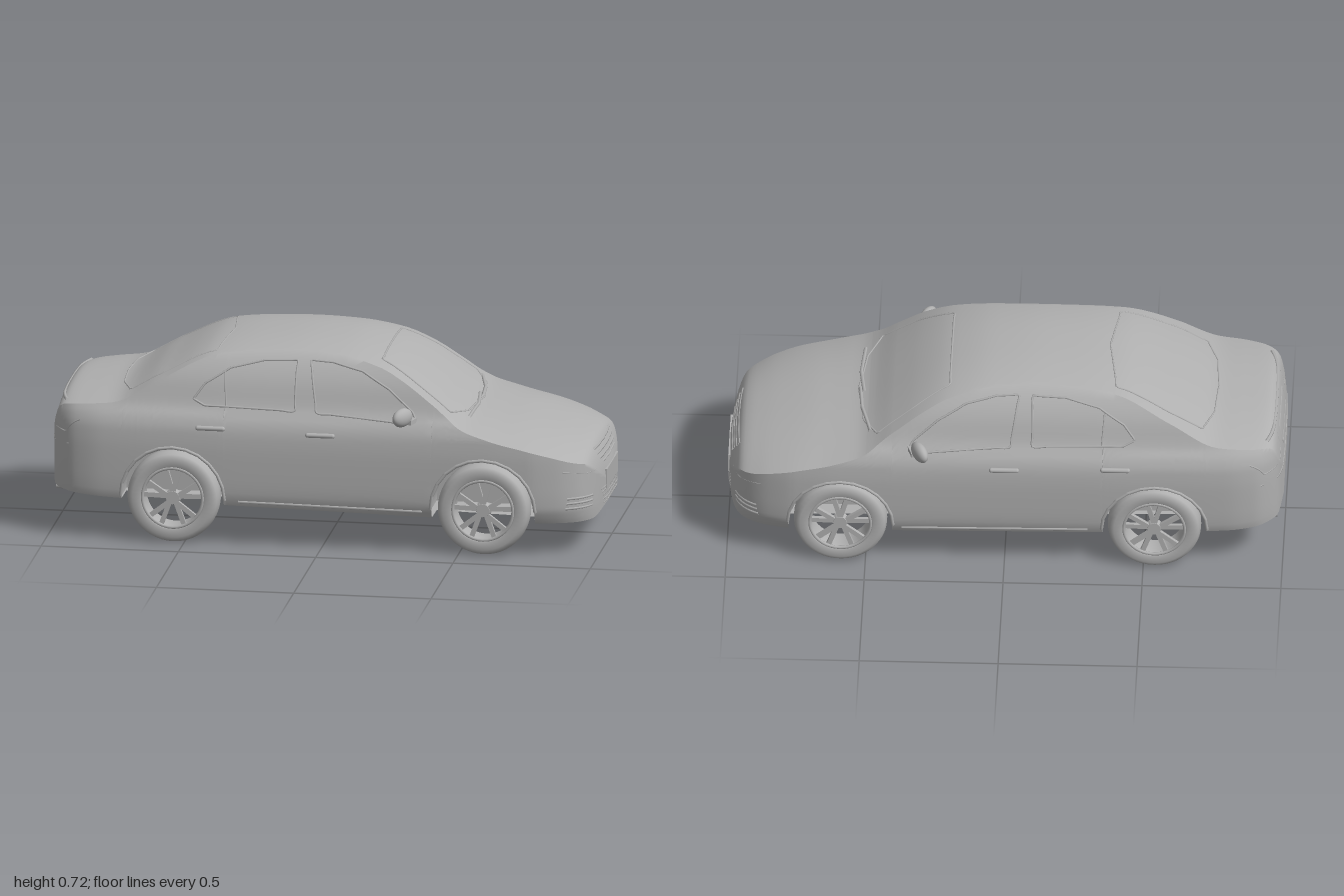
import * as THREE from 'three';
import { toCreasedNormals } from 'three/addons/utils/BufferGeometryUtils.js';

// Smooth monotone interpolation through [position, value] pairs
function profile(p) {
  const n = p.length;
  const d = p.slice(1).map((q, i) => (q[1] - p[i][1]) / (q[0] - p[i][0]));
  const m = p.map((_, i) => i === 0 ? d[0] : i === n - 1 ? d[n - 2]
    : d[i - 1] * d[i] <= 0 ? 0 : 2 * d[i - 1] * d[i] / (d[i - 1] + d[i]));
  return (x) => {
    if (x <= p[0][0]) return p[0][1];
    if (x >= p[n - 1][0]) return p[n - 1][1];
    let i = 0;
    while (x > p[i + 1][0]) i++;
    const h = p[i + 1][0] - p[i][0], t = (x - p[i][0]) / h, t2 = t * t, t3 = t2 * t;
    return (2 * t3 - 3 * t2 + 1) * p[i][1] + (t3 - 2 * t2 + t) * h * m[i]
      + (3 * t2 - 2 * t3) * p[i + 1][1] + (t3 - t2) * h * m[i + 1];
  };
}

// Body envelope: centre height, underside, plan taper, half width by height, crown depth
const topLine = profile([[-1, .35], [-.99, .42], [-.965, .5], [-.94, .514], [-.85, .525], [-.76, .535], [-.6, .615],
  [-.4, .7], [-.25, .718], [-.1, .724], [.05, .716], [.2, .684], [.3, .637], [.4, .572], [.52, .494], [.6, .476],
  [.7, .457], [.8, .432], [.88, .408], [.95, .378], [.975, .34], [.99, .3], [1, .265]]);
const bottomLine = profile([[-1, .21], [-.98, .175], [-.8, .16], [-.4, .15], [.3, .135], [.7, .125], [.97, .12], [1, .15]]);
const plan = profile([[-1, .5], [-.985, .7], [-.96, .8], [-.9, .905], [-.8, .96], [-.6, .985], [-.3, 1], [.6, 1],
  [.75, .985], [.85, .93], [.92, .84], [.96, .72], [.985, .53], [1, .28]]);
const widthAt = profile([[.11, .36], [.14, .378], [.18, .393], [.25, .398], [.35, .4], [.42, .396], [.47, .38],
  [.5, .359], [.6, .323], [.66, .288], [.7, .25], [.73, .2]]);
const crown = profile([[-1, .03], [-.7, .03], [-.4, .022], [.2, .024], [.5, .035], [.7, .05], [.9, .05], [1, .03]]);
const halfWidth = (x, y) => plan(x) * widthAt(y);
const edgeY = (x) => topLine(x) - crown(x);
const topY = (x, z) => {
  const t = Math.min(1, Math.abs(z) / halfWidth(x, edgeY(x)));
  return edgeY(x) + crown(x) * (1 - Math.pow(t, 2.4));
};
// Outermost x of the nose (dir 1) or tail (dir -1) at a given z and y
const endX = (dir, z, y) => {
  for (let s = 1; s > .6; s -= .002) {
    if (Math.abs(z) <= halfWidth(dir * s, y) && y <= topY(dir * s, z)) return dir * s;
  }
  return dir * .6;
};

const WHEELS = [-.54, .59], AXLE = .168, ARCH = .186;

export function createModel() {
  const car = new THREE.Group();
  car.name = 'sedan';
  const paint = new THREE.MeshStandardMaterial({ color: 0xb0b0b0, side: THREE.DoubleSide });
  paint.name = 'grey';
  const add = (name, geo, x = 0, y = 0, z = 0, parent = car) => {
    const mesh = new THREE.Mesh(geo, paint);
    mesh.name = name;
    mesh.position.set(x, y, z);
    parent.add(mesh);
    return mesh;
  };
  const grid = (rows) => {
    const w = rows[0].length, index = [];
    for (let i = 0; i < rows.length - 1; i++) for (let j = 0; j < w - 1; j++) {
      const a = i * w + j, b = a + w;
      index.push(a, a + 1, b, b, a + 1, b + 1);
    }
    const g = new THREE.BufferGeometry();
    g.setAttribute('position', new THREE.Float32BufferAttribute(rows.flat(2), 3));
    g.setIndex(index);
    g.computeVertexNormals();
    return g;
  };
  // Thin trim line laid on the body surface
  const trim = (name, pts, project, r = .003, closed = false) => {
    const out = [], n = pts.length;
    for (let i = 0; i < (closed ? n : n - 1); i++) {
      const a = pts[i], b = pts[(i + 1) % n];
      for (let k = 0; k < 6; k++) {
        const t = k / 6;
        out.push(project(a[0] + (b[0] - a[0]) * t, a[1] + (b[1] - a[1]) * t));
      }
    }
    if (!closed) out.push(project(...pts[n - 1]));
    return add(name, new THREE.TubeGeometry(new THREE.CatmullRomCurve3(out, closed), out.length * 2, r, 6, closed));
  };
  const onSide = (s) => (x, y) => new THREE.Vector3(x, y, s * halfWidth(x, y));
  const onTop = (x, z) => new THREE.Vector3(x, topY(x, z), z);
  const onEnd = (dir) => (z, y) => new THREE.Vector3(endX(dir, z, y) - dir * .001, y, z);
  const mirrorLoop = (pts) => [...pts, ...pts.filter((p) => p[1] > 0).reverse().map(([x, z]) => [x, -z])];

  // Stations along the car, denser at the ends and around the wheel arches
  const stations = [];
  for (let i = 0; i <= 90; i++) stations.push(Math.sin((i / 90 - .5) * Math.PI));
  for (const c of WHEELS) {
    stations.push(c - ARCH - .001, c + ARCH + .001);
    for (let i = 0; i <= 24; i++) stations.push(c + ARCH * Math.cos(i / 24 * Math.PI));
  }
  stations.sort((a, b) => a - b);
  const archAt = (x) => WHEELS.find((c) => Math.abs(x - c) <= ARCH + 1e-6);
  const sillY = (x) => {
    const c = archAt(x);
    return c === undefined ? bottomLine(x) : AXLE + Math.sqrt(Math.max(0, ARCH ** 2 - (x - c) ** 2));
  };

  // Body shell from cross-sections, closed at both ends
  const section = (x, flat = 1) => {
    const half = [], lo = sillY(x), hi = edgeY(x), ze = halfWidth(x, hi);
    for (let j = 0; j < 22; j++) {
      const y = lo + (hi - lo) * j / 22;
      half.push([x, y, halfWidth(x, y) * flat]);
    }
    for (let j = 0; j <= 14; j++) {
      const z = ze * Math.cos(j / 14 * Math.PI / 2);
      half.push([x, topY(x, z), z * flat]);
    }
    return [...half, ...half.slice(0, -1).reverse().map(([a, b, c]) => [a, b, -c])];
  };
  const shell = grid([section(-1, 0), ...stations.map((x) => section(x)), section(1, 0)].map((r) => r.reverse()));
  add('bodyShell', toCreasedNormals(shell, .7));

  // Flat floor, notched at the wheels
  add('floor', grid(stations.map((x) => {
    const y = bottomLine(x), w = archAt(x) === undefined ? halfWidth(x, y) : .27;
    return [[x, y, w], [x, y, -w]];
  })));

  // Wheels and wheel wells
  const tyreProfile = [[.112, -.04], [.118, -.046], [.145, -.048], [.16, -.038], [.167, -.02], [.168, 0], [.167, .02],
    [.16, .038], [.145, .048], [.118, .046], [.112, .04], [.106, .02], [.106, -.04], [.112, -.04]];
  const tyre = new THREE.LatheGeometry(tyreProfile.map((p) => new THREE.Vector2(...p)), 48).rotateX(Math.PI / 2);
  for (const [i, c] of WHEELS.entries()) for (const s of [1, -1]) {
    const wheel = new THREE.Group();
    wheel.name = i ? 'frontWheel' : 'rearWheel';
    wheel.position.set(c, AXLE, s * .343);
    if (s < 0) wheel.rotation.y = Math.PI;
    car.add(wheel);
    add('tyre', tyre, 0, 0, 0, wheel);
    add('rimLip', new THREE.TorusGeometry(.11, .006, 8, 40), 0, 0, .04, wheel);
    add('hub', new THREE.CylinderGeometry(.024, .03, .022, 20).rotateX(Math.PI / 2), 0, 0, .03, wheel);
    for (let k = 0; k < 5; k++) for (const o of [-.2, .2]) {
      const a = k * Math.PI * 2 / 5 + Math.PI / 2 + o;
      const spoke = add('spoke', new THREE.BoxGeometry(.092, .017, .014), .064 * Math.cos(a), .064 * Math.sin(a), .032, wheel);
      spoke.rotation.z = a + o * .4;
    }
    add('wheelWell', new THREE.CylinderGeometry(ARCH, ARCH, .115, 32, 1, true, Math.PI / 2, Math.PI).rotateX(Math.PI / 2),
      c, AXLE, s * .327);
    add('wellWall', new THREE.CircleGeometry(ARCH, 32, 0, Math.PI), c, AXLE, s * .27);
    // Arch lip
    const lip = [];
    for (let k = 0; k <= 12; k++) {
      const a = k / 12 * Math.PI;
      lip.push([c + .19 * Math.cos(a), AXLE + .19 * Math.sin(a)]);
    }
    trim('archLip', lip, onSide(s), .006);
  }

  for (const s of [1, -1]) {
    // Side windows, centre pillar and quarter light
    trim('rearWindowFrame', [[-.47, .53], [-.43, .51], [-.1, .503], [-.1, .672], [-.22, .668], [-.34, .64], [-.43, .585]],
      onSide(s), .004, true);
    trim('frontWindowFrame', [[-.02, .5], [.3, .478], [.345, .485], [.33, .515], [.24, .59], [.14, .645], [.03, .67], [-.05, .674]],
      onSide(s), .004, true);
    trim('quarterBar', [[-.35, .51], [-.36, .63]], onSide(s), .003);
    // Door handles
    for (const [x, y] of [[-.4, .437], [0, .427]]) {
      const handle = add('doorHandle', new THREE.CapsuleGeometry(.009, .09, 6, 10).rotateZ(Math.PI / 2), x, y, s * .402);
      handle.scale.z = 1.1;
    }
    // Door mirrors
    const mirror = add('doorMirror', new THREE.SphereGeometry(1, 24, 16), .303, .512, s * .42);
    mirror.scale.set(.024, .034, .05);
    mirror.rotation.y = s * -.5;
    const stalk = add('mirrorStalk', new THREE.BoxGeometry(.035, .016, .06), .325, .49, s * .378);
    stalk.rotation.y = s * -.3;
    // Sill moulding
    trim('sillMoulding', [[-.3, .165], [.37, .155]], onSide(s), .005);
    // Lamps and bumper vents
    trim('headlampEdge', [[s * .2, .3], [s * .3, .3], [s * .36, .315]], onEnd(1), .002);
    for (const y of [.175, .194, .212]) trim('bumperVent', [[s * .26, y], [s * .35, y + .003]], onEnd(1), .005);
    trim('tailLampEdge', [[s * .19, .47], [s * .19, .41], [s * .34, .39], [s * .36, .44]], onEnd(-1), .003);
    // Exhaust pipes
    add('exhaustPipe', new THREE.CylinderGeometry(.012, .012, .09, 14).rotateZ(Math.PI / 2), -.935, .168, s * .27);
  }

  // Windscreen, rear screen and wipers
  trim('windscreenFrame', mirrorLoop([[.2, 0], [.2, .22], [.33, .27], [.46, .3], [.51, .2], [.535, 0]]), onTop, .004, true);
  trim('rearScreenFrame', mirrorLoop([[-.76, 0], [-.75, .16], [-.71, .27], [-.6, .268], [-.4, .232], [-.37, 0]]), onTop, .003, true);
  trim('wiper', [[.52, .26], [.53, .1], [.515, -.03]], onTop, .007);
  trim('wiper', [[.53, .0], [.52, -.12], [.485, -.27]], onTop, .007);

  // Upper grille
  for (const [y, w] of [[.355, .17], [.337, .165], [.319, .15], [.301, .13]]) {
    trim('grilleBar', [[-w, y], [0, y - .002], [w, y]], onEnd(1), .005);
  }
  // Lower grille mesh
  const rows = [.155, .17, .185, .2, .212];
  rows.forEach((y, i) => {
    const w = .155 + i * .008;
    trim('lowerGrilleBar', [[-w, y], [w, y]], onEnd(1), .003);
    if (i) for (let z = -.15 + (i % 2) * .015; z <= .151; z += .03) {
      trim('lowerGrilleLink', [[z, rows[i - 1]], [z, y]], onEnd(1), .003);
    }
  });
  // Number plates, boot lip and rear bumper line
  add('frontPlate', new THREE.BoxGeometry(.01, .072, .25), .997, .236, 0);
  trim('rearPlateFrame', [[-.13, .385], [.13, .385], [.12, .45], [-.12, .45]], onEnd(-1), .004, true);
  trim('bootLip', [[-.28, .49], [0, .493], [.28, .49]], onEnd(-1), .007);
  trim('rearBumperLine', [[-.35, .345], [0, .335], [.35, .345]], onEnd(-1), .004);
  return car;
}
